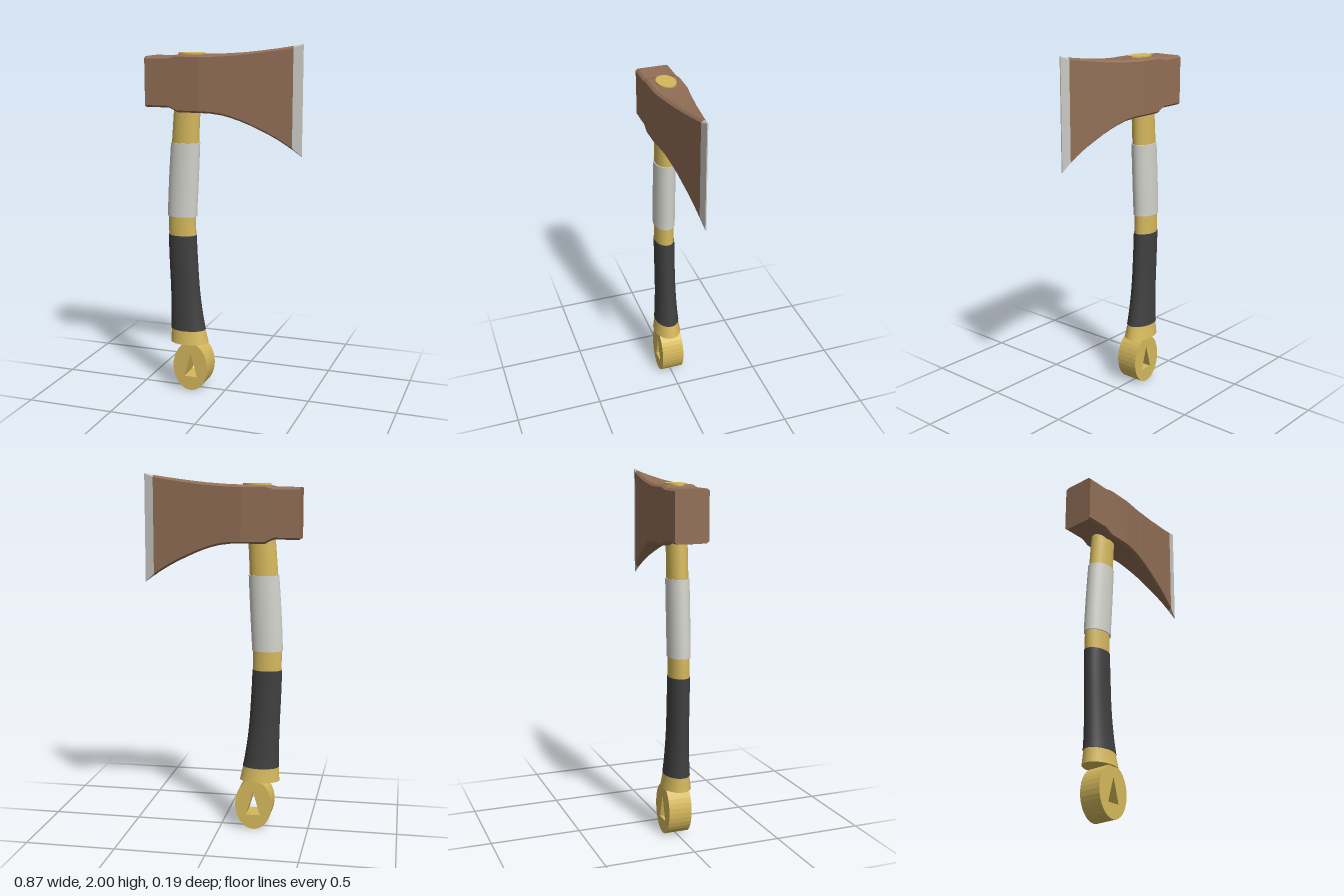
import * as THREE from 'three';

const mat = (name, color) => new THREE.MeshStandardMaterial({ name, color });

// Skin a list of closed rings of points and cap both ends
function loft(rings, flat) {
  const n = rings[0].length, pos = [], idx = [];
  const add = (p) => pos.push(p.x, p.y, p.z);
  rings.forEach((r) => r.forEach(add));
  for (let i = 0; i < rings.length - 1; i++) {
    for (let j = 0; j < n; j++) {
      const k = (j + 1) % n;
      const a = i * n + j, b = i * n + k, c = a + n, d = b + n;
      idx.push(a, c, b, b, c, d);
    }
  }
  [rings[0], rings[rings.length - 1]].forEach((ring, end) => {
    const base = pos.length / 3;
    ring.forEach(add);
    const mid = new THREE.Vector3();
    ring.forEach((p) => mid.addScaledVector(p, 1 / n));
    add(mid);
    for (let j = 0; j < n; j++) {
      const a = base + j, b = base + ((j + 1) % n);
      idx.push(base + n, ...(end ? [b, a] : [a, b]));
    }
  });
  let g = new THREE.BufferGeometry();
  g.setAttribute('position', new THREE.Float32BufferAttribute(pos, 3));
  g.setIndex(idx);
  if (flat) g = g.toNonIndexed();
  g.computeVertexNormals();
  return g;
}

// Handle outline: height -> [rear edge x, front edge x, half depth z]
const levels = [0.28, 0.36, 0.46, 0.6, 0.76, 0.92, 1.03, 1.2, 1.45, 1.63, 1.95];
const outline = [
  -0.333, -0.106, 0.08,
  -0.328, -0.125, 0.068,
  -0.326, -0.143, 0.061,
  -0.328, -0.16, 0.056,
  -0.334, -0.17, 0.055,
  -0.338, -0.177, 0.055,
  -0.338, -0.177, 0.055,
  -0.331, -0.168, 0.055,
  -0.314, -0.156, 0.055,
  -0.3, -0.147, 0.055,
  -0.27, -0.115, 0.053,
];
const handleShape = new THREE.CubicInterpolant(levels, outline, 3, new Float32Array(3));

// A length of handle between two heights, thickened by grow
function handleSection(y0, y1, grow, steps) {
  const rings = [];
  for (let i = 0; i <= steps; i++) {
    const y = y0 + ((y1 - y0) * i) / steps;
    const [l, r, hz] = handleShape.evaluate(y);
    const ring = [];
    for (let j = 0; j < 32; j++) {
      const t = (j / 32) * Math.PI * 2;
      ring.push(new THREE.Vector3(
        (l + r) / 2 + Math.cos(t) * ((r - l) / 2 + grow), y, Math.sin(t) * (hz + grow)));
    }
    rings.push(ring);
  }
  return loft(rings, false);
}

// Chamfered eight-sided slice of the axe head
function headSlice([x, bottom, top, hz]) {
  const zi = hz - Math.min(0.013, hz * 0.7);
  const c = Math.min(0.011, hz * 0.7);
  return [
    [bottom + c, hz], [top - c, hz], [top, zi], [top, -zi],
    [top - c, -hz], [bottom + c, -hz], [bottom, -zi], [bottom, zi],
  ].map(([y, z]) => new THREE.Vector3(x, y, z));
}

export function createModel() {
  const wood = mat('golden wood', 0xd6b95d);
  const brown = mat('brown head', 0x926f56);
  const steel = mat('edge steel', 0xcbc9c4);
  const white = mat('pale wrap', 0xd4d4ce);
  const black = mat('dark grip', 0x404040);

  const group = new THREE.Group();
  const add = (name, geometry, material) => {
    const mesh = new THREE.Mesh(geometry, material);
    mesh.name = name;
    group.add(mesh);
    return mesh;
  };

  // Curved handle with its two sleeves
  add('handle', handleSection(0.28, 1.947, 0, 48), wood);
  add('grip', handleSection(0.36, 0.92, 0.003, 20), black);
  add('wrap', handleSection(1.03, 1.45, 0.006, 16), white);

  // Pommel: oval disc with a triangular lanyard hole
  const oval = new THREE.Shape();
  oval.absellipse(-0.193, 0.146, 0.105, 0.144, 0, Math.PI * 2);
  const hole = new THREE.Path();
  hole.moveTo(-0.191, 0.225);
  hole.lineTo(-0.23, 0.086);
  hole.lineTo(-0.151, 0.086);
  hole.closePath();
  oval.holes.push(hole);
  const pommel = new THREE.ExtrudeGeometry(oval, { depth: 0.132, bevelEnabled: false, curveSegments: 16 });
  pommel.translate(0, 0, -0.066);
  add('pommel', pommel, wood);

  // Axe head slices: x, bottom y, top y, half thickness
  const slices = [
    [-0.437, 1.65, 1.927, 0.094],
    [-0.3, 1.65, 1.927, 0.094],
    [-0.275, 1.64, 1.933, 0.094],
    [-0.25, 1.626, 1.939, 0.094],
    [-0.12, 1.626, 1.939, 0.093],
    [-0.06, 1.624, 1.94, 0.084],
    [0, 1.616, 1.943, 0.074],
    [0.05, 1.603, 1.947, 0.067],
    [0.1, 1.586, 1.951, 0.059],
    [0.15, 1.566, 1.957, 0.051],
    [0.2, 1.543, 1.963, 0.044],
    [0.25, 1.519, 1.97, 0.036],
    [0.3, 1.492, 1.977, 0.028],
    [0.345, 1.464, 1.984, 0.021],
    [0.385, 1.437, 1.991, 0.015],
  ];
  add('axeHead', loft(slices.map(headSlice), true), brown);

  // Sharpened cutting edge
  const edge = [slices[slices.length - 1], [0.436, 1.4, 2.0, 0.003]];
  add('cuttingEdge', loft(edge.map(headSlice), true), steel);

  return group;
}
